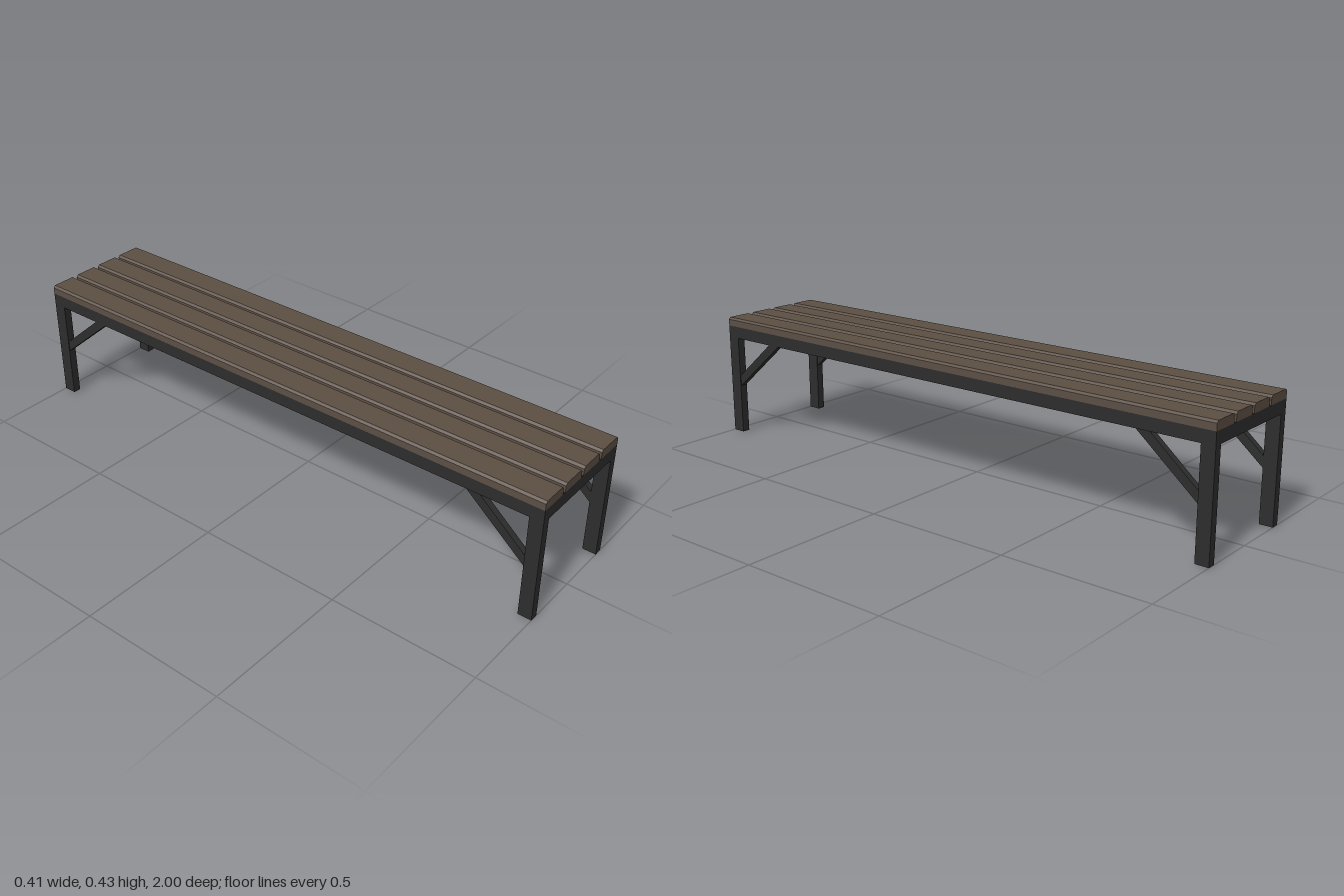
import * as THREE from 'three';

export function createModel() {
  const bench = new THREE.Group();
  bench.name = 'bench';
  const wood = new THREE.MeshStandardMaterial({ color: 0x5c4f44 });
  wood.name = 'brown wood';
  const metal = new THREE.MeshStandardMaterial({ color: 0x2d2d2d });
  metal.name = 'dark metal';

  const W = 0.206, L = 1;             // half width and half length
  const tubeX = 0.028, tubeZ = 0.046; // frame tube section
  const railLow = 0.355, railTop = 0.397, top = 0.427;

  function add(name, geometry, material, x = 0, y = 0, z = 0) {
    const mesh = new THREE.Mesh(geometry, material);
    mesh.name = name;
    mesh.position.set(x, y, z);
    bench.add(mesh);
    return mesh;
  }

  function extrude(points, depth) {
    const shape = new THREE.Shape(points.map(([x, y]) => new THREE.Vector2(x, y)));
    return new THREE.ExtrudeGeometry(shape, { depth, bevelEnabled: false })
      .translate(0, 0, -depth / 2);
  }

  // Seat slats with chamfered upper edges
  const c = 0.007;
  [[-W, -0.11], [-0.098, -0.007], [0.005, 0.097], [0.109, W]].forEach(([a, b], i) => {
    const section = [[a, railTop], [b, railTop], [b, top - c], [b - c, top], [a + c, top], [a, top - c]];
    add('seatSlat' + (i + 1), extrude(section, 2 * L), wood);
  });

  // Rails under the seat
  const railH = railTop - railLow, railY = (railTop + railLow) / 2;
  for (const s of [-1, 1]) {
    add('sideRail', new THREE.BoxGeometry(tubeX, railH, 2 * (L - tubeZ)), metal, s * (W - tubeX / 2), railY, 0);
    add('endRail', new THREE.BoxGeometry(2 * (W - tubeX), railH, tubeZ), metal, 0, railY, s * (L - tubeZ / 2));
  }

  // Legs and diagonal braces at the four corners
  const inner = L - tubeZ;
  for (const sx of [-1, 1]) {
    for (const sz of [-1, 1]) {
      const x = sx * (W - tubeX / 2);
      add('leg', new THREE.BoxGeometry(tubeX, railTop, tubeZ), metal, x, railTop / 2, sz * (L - tubeZ / 2));

      const outline = [[inner, 0.177], [inner, 0.215], [0.79, railLow], [0.743, railLow]];
      const brace = add('brace', extrude(outline, 0.022), metal, x);
      brace.rotation.y = -sz * Math.PI / 2;
    }
  }
  return bench;
}
